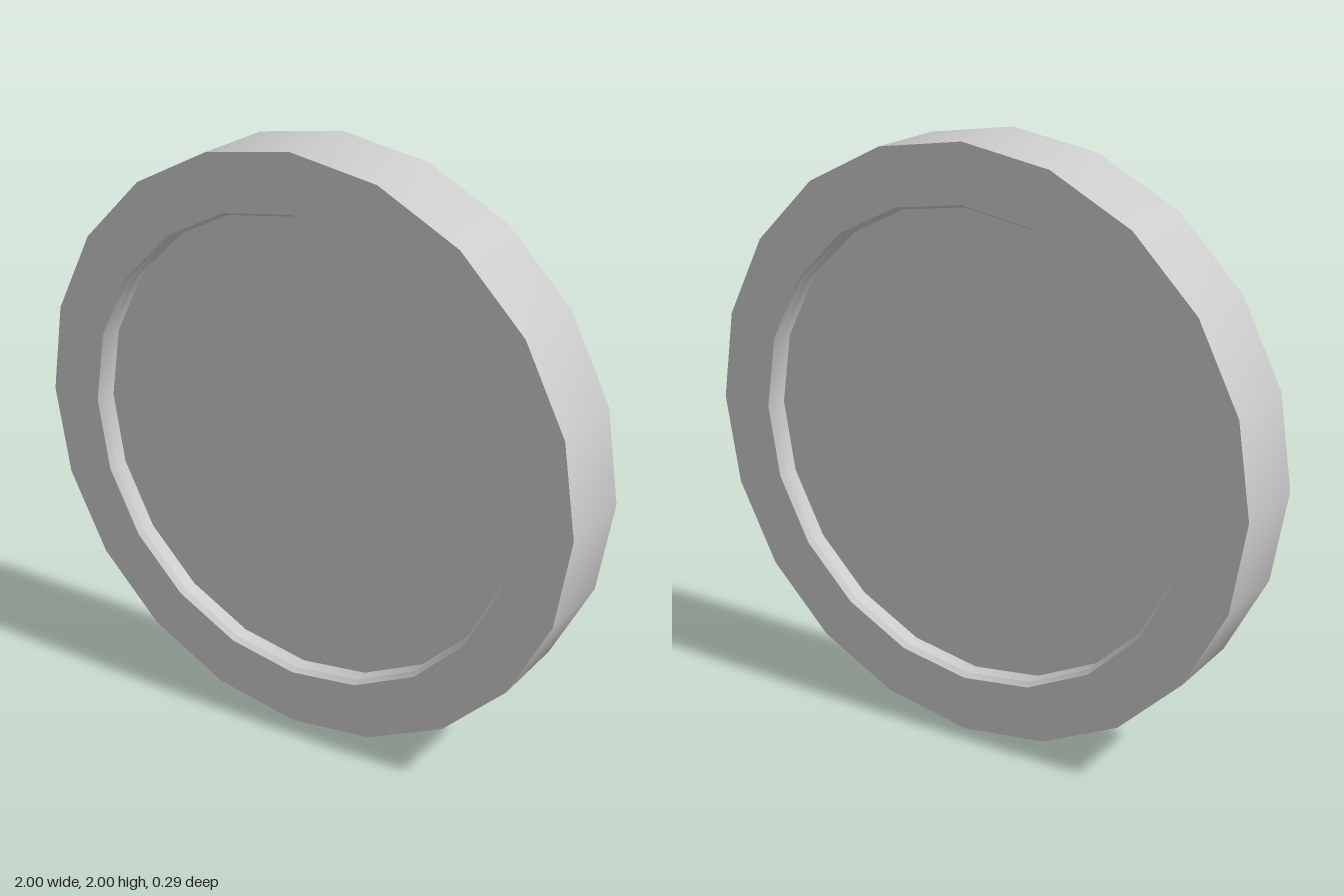
import * as THREE from 'three';
import { toCreasedNormals } from 'three/addons/utils/BufferGeometryUtils.js';

const SIDES = 20;
const HALF = 0.143;    // half thickness of the rim
const FLOOR = 0.073;   // distance of each recessed face from the middle
const OUTER = 1, LIP = 0.807, INNER = 0.796;
const BEVEL = 0.02;    // depth of the bevel inside the lip

export function createModel() {
  const group = new THREE.Group();
  group.name = 'recessedDisc';
  const material = new THREE.MeshStandardMaterial({ color: 0xcccccc });

  // Rim: one profile turned around the axis, with a bevelled lip on both faces
  const profile = [
    [INNER, -FLOOR], [INNER, -HALF + BEVEL], [LIP, -HALF], [OUTER, -HALF],
    [OUTER, HALF], [LIP, HALF], [INNER, HALF - BEVEL], [INNER, FLOOR],
  ].map(([r, y]) => new THREE.Vector2(r, y));
  const rimGeometry = toCreasedNormals(new THREE.LatheGeometry(profile, SIDES), 0.4);
  rimGeometry.rotateX(Math.PI / 2);
  const rim = new THREE.Mesh(rimGeometry, material);
  rim.name = 'rim';
  rim.position.y = 1;
  group.add(rim);

  // Flat recessed face on the front and the back
  for (const side of [1, -1]) {
    const face = new THREE.Mesh(new THREE.CircleGeometry(INNER, SIDES), material);
    face.name = side > 0 ? 'frontFace' : 'backFace';
    face.position.set(0, 1, side * FLOOR);
    if (side < 0) face.rotation.y = Math.PI;
    group.add(face);
  }
  return group;
}
